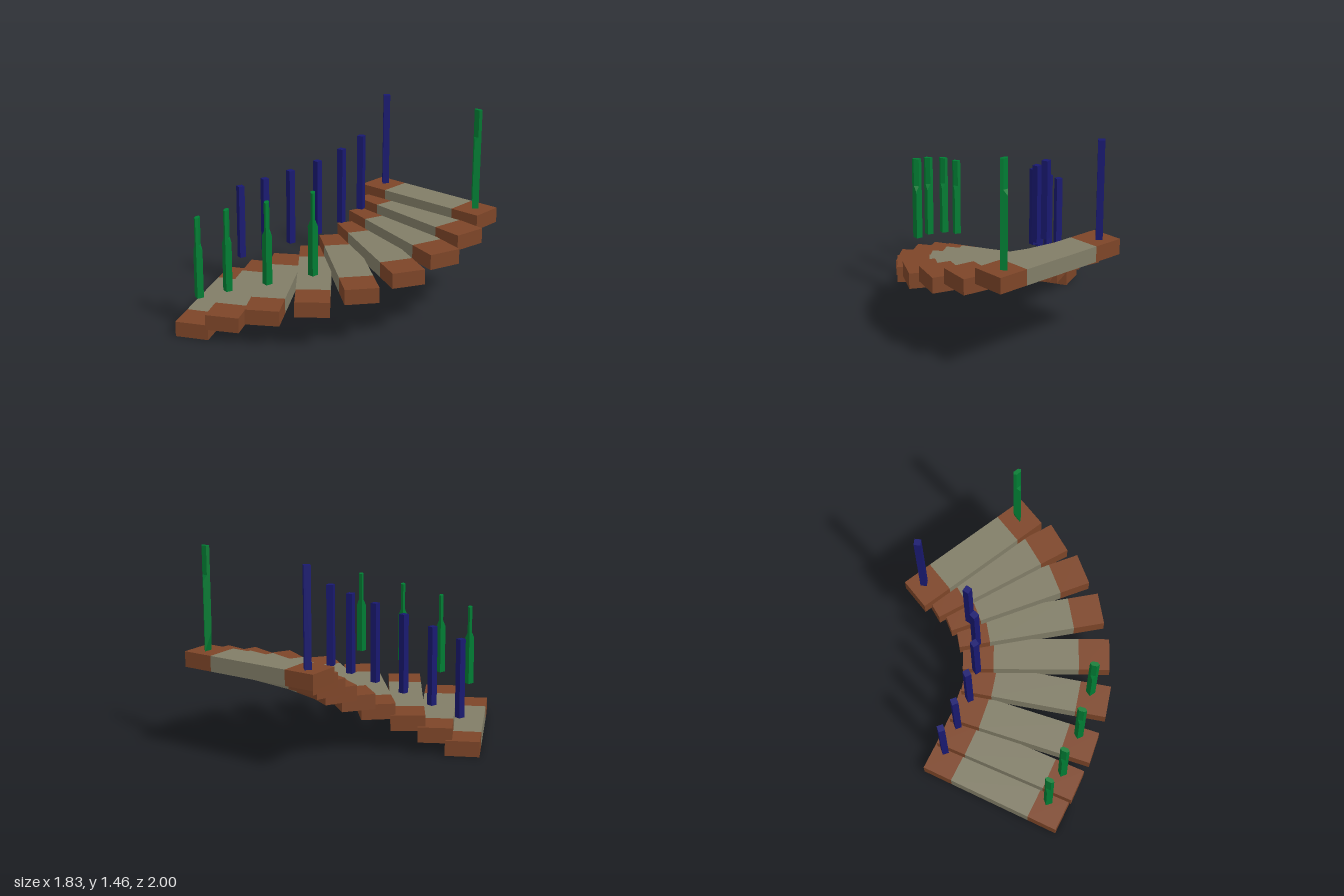
import * as THREE from 'three';

const material = (name, color) => {
  const m = new THREE.MeshStandardMaterial({ color });
  m.name = name;
  return m;
};

// Square post with one diagonal on local x, built from rings of [y, chamfer].
// The chamfer cuts the two z corners; footLift raises the -x corner of the foot.
function postGeometry(r, rings, footLift = 0) {
  const pos = [], idx = [];
  rings.forEach(([y, c], k) => {
    const s = r * c, t = r * (1 - c);
    pos.push(r, y, 0, s, y, t, -s, y, t);
    pos.push(-r, y + (k === 0 ? footLift : 0), 0, -s, y, -t, s, y, -t);
  });
  for (let k = 0; k < rings.length - 1; k++) {
    for (let i = 0; i < 6; i++) {
      const a = k * 6 + i, b = k * 6 + (i + 1) % 6;
      idx.push(a, a + 6, b + 6, a, b + 6, b);
    }
  }
  // Foot and top faces
  idx.push(0, 1, 5, 2, 3, 4);
  const n = (rings.length - 1) * 6;
  for (let i = 1; i < 5; i++) idx.push(n, n + i + 1, n + i);
  const g = new THREE.BufferGeometry();
  g.setAttribute('position', new THREE.Float32BufferAttribute(pos, 3));
  g.setIndex(idx);
  const flat = g.toNonIndexed();
  flat.computeVertexNormals();
  return flat;
}

export function createModel() {
  const model = new THREE.Group();
  model.name = 'curvedStaircase';
  const stone = material('stoneGrey', 0x817d67);
  const brown = material('brickBrown', 0x7d4528);
  const blue = material('innerPostBlue', 0x191970);
  const green = material('outerPostGreen', 0x007c33);

  const L = 1.078, W = 0.24, H = 0.11, END = 0.226, R = 0.033;

  // Treads: centre x, top y, centre z, angle in degrees, inner post [x, z], outer post [x, z]
  const steps = [
    [-0.57, 0.11, 0.465, 64.5, [-0.73, 0.065], [-0.38, 0.83]],
    [-0.375, 0.195, 0.386, 62.5, [-0.55, -0.01], [-0.18, 0.745]],
    [-0.16, 0.275, 0.283, 57, [-0.37, -0.095], [0.075, 0.615]],
    [0.07, 0.355, 0.134, 49.5, [-0.21, -0.21], [0.33, 0.435]],
    [0.222, 0.435, -0.055, 39, [-0.1, -0.35], null],
    [0.329, 0.515, -0.272, 28.5, [-0.04, -0.5], null],
    [0.366, 0.59, -0.485, 18, null, null],
    [0.348, 0.66, -0.688, 9, null, null],
    [0.292, 0.73, -0.877, 0.5, [-0.14, -0.91], [0.71, -0.89]],
  ];

  const midGeo = new THREE.BoxGeometry(L - 2 * END, H, W);
  const endGeo = new THREE.BoxGeometry(END, H, W);

  steps.forEach(([x, top, z, deg, inner, outer], i) => {
    const turn = -THREE.MathUtils.degToRad(deg);
    const last = i === steps.length - 1;

    // Tread with a brown block at each end
    const step = new THREE.Group();
    step.name = 'step' + (i + 1);
    step.position.set(x, top - H / 2, z);
    step.rotation.y = turn;
    const add = (name, geo, mat, px) => {
      const mesh = new THREE.Mesh(geo, mat);
      mesh.name = name;
      mesh.position.x = px;
      step.add(mesh);
    };
    add('tread', midGeo, stone, 0);
    add('innerEnd', endGeo, brown, -(L - END) / 2);
    add('outerEnd', endGeo, brown, (L - END) / 2);
    model.add(step);

    // Railing posts, standing clear above all but the top step
    const foot = last ? 0.73 : 0.25 + i * 0.08;
    const place = (name, geo, mat, [px, pz], y) => {
      const post = new THREE.Mesh(geo, mat);
      post.name = name;
      post.position.set(px, y, pz);
      post.rotation.y = turn;
      model.add(post);
    };
    if (inner) {
      const h = last ? 0.69 : 0.56;
      place('innerPost', postGeometry(R, [[0, 0], [h, 0]]), blue, inner, foot);
    }
    if (outer) {
      const h = last ? 0.73 : 0.59;
      const rings = [[0, 0], [h - 0.24, 0], [h - 0.2, 0.55], [h, 0.55]];
      place('outerPost', postGeometry(R + 0.001, rings, last ? 0.14 : 0), green, outer, last ? foot : foot + 0.01);
    }
  });
  return model;
}
